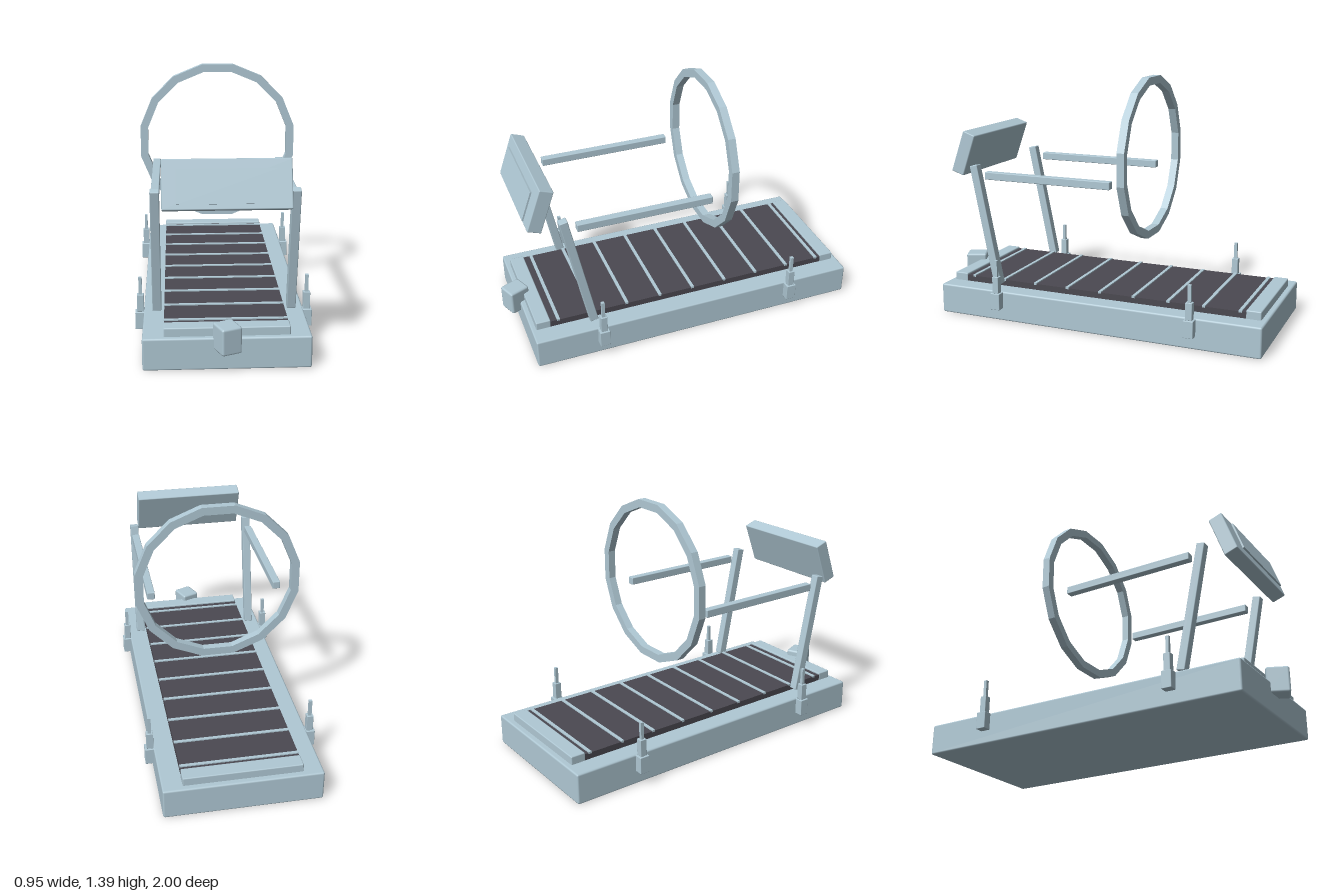
import * as THREE from 'three';
import { RoundedBoxGeometry } from 'three/addons/geometries/RoundedBoxGeometry.js';

export function createModel() {
  const model = new THREE.Group();
  model.name = 'treadmill';
  const paleBlue = new THREE.MeshStandardMaterial({ name: 'paleBlue', color: 0xb0c9d5 });
  const charcoal = new THREE.MeshStandardMaterial({ name: 'charcoal', color: 0x4b4951 });

  // Box with an optional small bevel
  function box(name, size, pos, { mat = paleBlue, bevel = 0, parent = model } = {}) {
    const geo = bevel ? new RoundedBoxGeometry(...size, 1, bevel) : new THREE.BoxGeometry(...size);
    const mesh = new THREE.Mesh(geo, mat);
    mesh.name = name;
    mesh.position.set(...pos);
    parent.add(mesh);
    return mesh;
  }

  // Deck, belt and rollers' covers
  box('base', [0.856, 0.172, 1.91], [0, 0.086, -0.045], { bevel: 0.01 });
  box('belt', [0.636, 0.045, 1.69], [0, 0.1845, -0.043], { mat: charcoal });
  box('frontCover', [0.64, 0.055, 0.083], [0, 0.19, 0.842], { bevel: 0.006 });
  box('rearCover', [0.64, 0.055, 0.083], [0, 0.19, -0.927], { bevel: 0.006 });

  // Raised strips across the belt
  for (let i = 0; i < 9; i++) {
    box('beltStrip', [0.638, 0.012, 0.018], [0, 0.207, -0.855 + i * 0.2013]);
  }

  // Mirrored uprights, handrails and adjustable feet
  for (const s of [1, -1]) {
    box('post', [0.048, 0.7, 0.047], [s * 0.357, 0.538, 0.634], { bevel: 0.004 }).rotation.x = 0.2;
    box('handrail', [0.043, 0.043, 0.765], [s * 0.357, 0.828, 0.248], { bevel: 0.004 });
    for (const z of [0.533, -0.617]) {
      const foot = new THREE.Group();
      foot.name = 'sideBracket';
      foot.position.set(s * 0.445, 0, z);
      box('bracketBlock', [0.057, 0.095, 0.057], [0, 0.1225, 0], { bevel: 0.003, parent: foot });
      box('bracketSleeve', [0.037, 0.095, 0.037], [0, 0.2175, 0], { bevel: 0.002, parent: foot });
      box('bracketPin', [0.018, 0.097, 0.018], [0, 0.3125, 0], { parent: foot });
      model.add(foot);
    }
  }

  // Console leaning back, with its display plate
  const consoleGroup = new THREE.Group();
  consoleGroup.name = 'console';
  consoleGroup.position.set(0, 0.935, 0.805);
  consoleGroup.rotation.x = -0.34;
  box('consoleBody', [0.64, 0.25, 0.08], [0, 0, 0], { bevel: 0.006, parent: consoleGroup });
  box('display', [0.5, 0.172, 0.009], [0, -0.012, 0.053], { parent: consoleGroup });
  model.add(consoleGroup);

  // Small turned housing at the front
  box('frontSensor', [0.11, 0.142, 0.122], [-0.003, 0.181, 0.925], { bevel: 0.012 }).rotation.y = 0.4;

  // Sixteen-sided hoop with a square section
  const polygon = (apothem) => Array.from({ length: 16 }, (_, i) => {
    const a = ((i + 0.5) / 16) * Math.PI * 2;
    const r = apothem / Math.cos(Math.PI / 16);
    return new THREE.Vector2(r * Math.cos(a), r * Math.sin(a));
  });
  const ringShape = new THREE.Shape(polygon(0.453));
  ringShape.holes.push(new THREE.Path(polygon(0.409)));
  const hoop = new THREE.Mesh(
    new THREE.ExtrudeGeometry(ringShape, { depth: 0.043, bevelEnabled: false }), paleBlue);
  hoop.name = 'hoop';
  hoop.position.set(0, 0.934, -0.25);
  model.add(hoop);

  return model;
}
